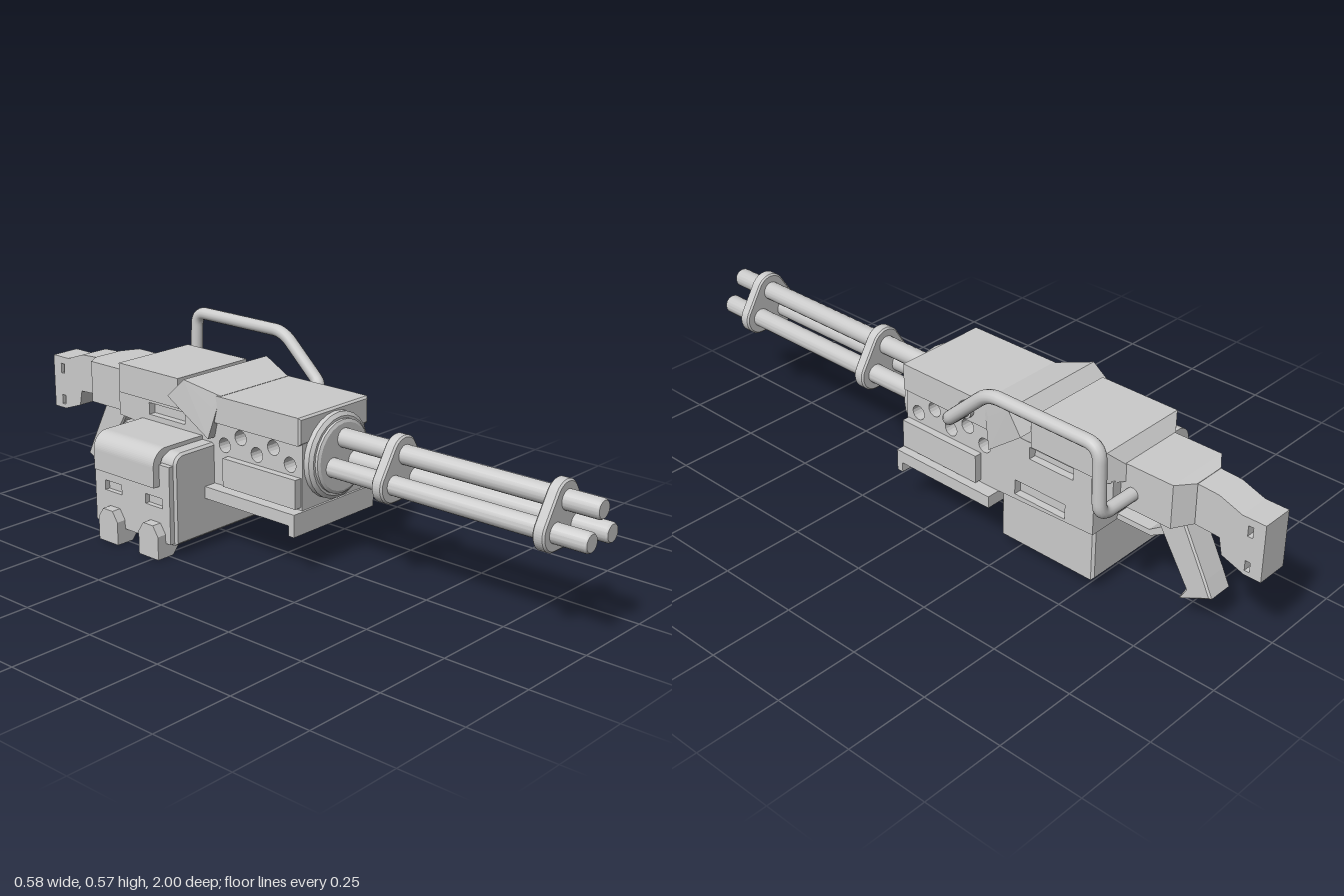
import * as THREE from 'three';
import { ConvexGeometry } from 'three/addons/geometries/ConvexGeometry.js';
import { toCreasedNormals } from 'three/addons/utils/BufferGeometryUtils.js';

const CX = 0.04; // centre plane of the gun body
const material = new THREE.MeshStandardMaterial({ color: 0xcccccc });

export function createModel() {
  const root = new THREE.Group();
  root.name = 'rotaryGun';

  const add = (name, geometry) => {
    const mesh = new THREE.Mesh(geometry, material);
    mesh.name = name;
    root.add(mesh);
    return mesh;
  };
  const poly = (points) => new THREE.Shape(points.map(([a, b]) => new THREE.Vector2(a, b)));
  const rectHole = (a0, b0, a1, b1) => poly([[a0, b0], [a1, b0], [a1, b1], [a0, b1]]);
  const circleHole = (a, b, r) => new THREE.Path().absarc(a, b, r, 0, Math.PI * 2, true);
  const box = (name, x0, x1, y0, y1, z0, z1) => add(name,
    new THREE.BoxGeometry(x1 - x0, y1 - y0, z1 - z0)
      .translate((x0 + x1) / 2, (y0 + y1) / 2, (z0 + z1) / 2));
  // side profile in (z, y), extruded across x
  const sideSlab = (name, shape, x0, x1, bevel = 0) => add(name,
    new THREE.ExtrudeGeometry(shape, {
      depth: x1 - x0 - 2 * bevel, curveSegments: 8, bevelEnabled: bevel > 0,
      bevelSize: bevel, bevelThickness: bevel, bevelOffset: -bevel, bevelSegments: 1,
    }).rotateY(-Math.PI / 2).translate(x1 - bevel, 0, 0));
  // front profile in (x, y), extruded along z
  const frontSlab = (name, shape, z0, z1, bevel = 0) => add(name,
    new THREE.ExtrudeGeometry(shape, {
      depth: z1 - z0 - 2 * bevel, curveSegments: 8, bevelEnabled: bevel > 0,
      bevelSize: bevel, bevelThickness: bevel, bevelOffset: -bevel, bevelSegments: 1,
    }).translate(0, 0, z0 + bevel));
  // convex block through symmetric corner pairs [z, y, halfWidth]
  const block = (name, corners) => add(name, new ConvexGeometry(corners.flatMap(
    ([z, y, w]) => [new THREE.Vector3(CX - w, y, z), new THREE.Vector3(CX + w, y, z)])));
  const section = (z, w, y0, y1) => [[z, y0, w], [z, y1, w]];

  // barrels
  const centres = [[CX, 0.375], [CX - 0.047, 0.3], [CX + 0.047, 0.3]];
  for (const [x, y] of centres) {
    const profile = [[0, 0], [0.028, 0], [0.028, 0.864], [0.024, 0.87], [0, 0.87]];
    const g = new THREE.LatheGeometry(profile.map((p) => new THREE.Vector2(...p)), 20);
    add('barrel', toCreasedNormals(g.rotateX(Math.PI / 2).translate(x, y, 0.13), 0.6));
  }

  // rounded triangular barrel clamps
  const clamp = new THREE.Shape();
  const R = 0.053;
  clamp.absarc(CX, 0.375, R, Math.PI / 6, Math.PI * 5 / 6);
  clamp.absarc(CX - 0.047, 0.3, R, Math.PI * 5 / 6, Math.PI * 1.5);
  clamp.absarc(CX + 0.047, 0.3, R, Math.PI * 1.5, Math.PI * 13 / 6);
  for (const z of [0.35, 0.86]) frontSlab('barrelClamp', clamp, z, z + 0.036, 0.005);

  // stepped round collar at the barrel root
  const collar = [[0, 0], [0.125, 0], [0.125, 0.022], [0.114, 0.03], [0.107, 0.03],
    [0.107, 0.038], [0.098, 0.042], [0, 0.042]];
  add('barrelCollar', toCreasedNormals(
    new THREE.LatheGeometry(collar.map((p) => new THREE.Vector2(...p)), 24)
      .rotateX(Math.PI / 2).translate(CX, 0.32, 0.13), 0.4));

  // main body: core and two outer plates; vents run through, slots only through the plates
  const bodyShape = (slots) => {
    const shape = poly([[0.135, 0.187], [0.135, 0.385], [-0.6, 0.39], [-0.6, 0.31],
      [-0.54, 0.305], [-0.54, 0.2], [-0.2, 0.187]]);
    for (let i = 0; i < 5; i++) {
      shape.holes.push(circleHole(0.09 - i * 0.0625, i % 2 ? 0.345 : 0.31, 0.022));
    }
    if (slots) {
      shape.holes.push(rectHole(-0.47, 0.337, -0.32, 0.373));
      shape.holes.push(rectHole(-0.445, 0.205, -0.27, 0.25));
    }
    return shape;
  };
  sideSlab('bodyCore', bodyShape(false), CX - 0.108, CX + 0.108);
  sideSlab('bodyPlateRight', bodyShape(true), CX - 0.131, CX - 0.107);
  sideSlab('bodyPlateLeft', bodyShape(true), CX + 0.107, CX + 0.131);

  // front top cover
  const cover = poly([[CX - 0.145, 0.375], [CX + 0.145, 0.375], [CX + 0.145, 0.455], [CX - 0.145, 0.455]]);
  frontSlab('frontCover', cover, -0.22, 0.137, 0.006);

  // tilted flaring hood behind the front cover
  block('flaredHood', [[-0.165, 0.456, 0.14], [-0.19, 0.42, 0.15], [-0.2, 0.326, 0.158],
    [-0.28, 0.489, 0.172], [-0.335, 0.433, 0.184]]);

  // rear cover, neck
  box('coverBridge', CX - 0.13, CX + 0.13, 0.38, 0.44, -0.36, -0.25);
  block('rearCover', [...section(-0.335, 0.143, 0.385, 0.475),
    ...section(-0.585, 0.143, 0.385, 0.475), ...section(-0.615, 0.1, 0.385, 0.435)]);
  block('neck', [...section(-0.58, 0.1, 0.31, 0.438),
    ...section(-0.76, 0.1, 0.31, 0.438), ...section(-0.795, 0.049, 0.315, 0.435)]);

  // stock with two small slots
  const stock = poly([[-0.77, 0.315], [-0.77, 0.435], [-0.86, 0.43], [-0.93, 0.405],
    [-1, 0.405], [-1, 0.237], [-0.95, 0.237], [-0.88, 0.262], [-0.87, 0.31]]);
  stock.holes.push(rectHole(-0.965, 0.352, -0.95, 0.383), rectHole(-0.965, 0.25, -0.95, 0.28));
  sideSlab('stock', stock, CX - 0.049, CX + 0.047);

  // grip and trigger guard
  sideSlab('grip', poly([[-0.645, 0.32], [-0.75, 0.32], [-0.835, 0.155], [-0.858, 0.107],
    [-0.757, 0.06], [-0.778, 0.1]]), CX - 0.042, CX + 0.042, 0.005);
  sideSlab('triggerGuard', poly([[-0.53, 0.2], [-0.65, 0.2], [-0.71, 0.235], [-0.7, 0.255],
    [-0.645, 0.217], [-0.53, 0.217]]), CX - 0.03, CX + 0.03);
  sideSlab('trigger', poly([[-0.625, 0.32], [-0.65, 0.32], [-0.655, 0.25], [-0.64, 0.25]]),
    CX - 0.012, CX + 0.012);

  // side rails and lower rail with a front lip
  for (const s of [-1, 1]) {
    const a = CX + s * 0.12, b = CX + s * 0.154;
    box('sideRail', Math.min(a, b), Math.max(a, b), 0.195, 0.28, -0.147, 0.13);
  }
  sideSlab('lowerRail', poly([[0.14, 0.12], [0.14, 0.186], [-0.21, 0.186], [-0.21, 0.15],
    [0.12, 0.15], [0.12, 0.12]]), CX - 0.17, CX + 0.17);

  // ammunition box with a rounded shoulder and a slotted outer wall
  const ammo = new THREE.Shape();
  ammo.moveTo(-0.247, 0.036);
  ammo.lineTo(0.15, 0.036);
  ammo.lineTo(0.15, 0.203);
  ammo.lineTo(-0.08, 0.203);
  ammo.lineTo(-0.08, 0.308);
  ammo.lineTo(-0.21, 0.308);
  ammo.absarc(-0.212, 0.273, 0.035, Math.PI / 2, Math.PI);
  frontSlab('ammoBox', ammo, -0.53, -0.203, 0.007);
  const wall = poly([[-0.523, 0.043], [-0.21, 0.043], [-0.21, 0.275], [-0.523, 0.275]]);
  wall.holes.push(rectHole(-0.31, 0.145, -0.24, 0.175), rectHole(-0.48, 0.145, -0.41, 0.175));
  sideSlab('ammoBoxWall', wall, -0.263, -0.246);

  // curved feed cover wrapped over the box shoulder
  const strap = new THREE.Shape();
  strap.moveTo(-0.085, 0.3);
  strap.lineTo(-0.085, 0.32);
  strap.absarc(-0.235, 0.27, 0.05, Math.PI / 2, Math.PI);
  strap.lineTo(-0.285, 0.21);
  strap.lineTo(-0.255, 0.21);
  strap.absarc(-0.23, 0.275, 0.025, Math.PI, Math.PI / 2, true);
  frontSlab('feedCover', strap, -0.5, -0.25);

  // feet with pointed tops on the outer wall of the box
  for (const z of [-0.27, -0.44]) {
    const w = 0.04;
    const pts = [];
    for (const x of [-0.293, -0.21]) {
      const y0 = x < -0.25 ? 0 : 0.03;
      pts.push([x, y0, z - w], [x, y0, z + w], [x, 0.07, z - w], [x, 0.07, z + w],
        [x, 0.1, z - w / 2], [x, 0.1, z + w / 2]);
    }
    pts.push([-0.235, 0, z - w], [-0.235, 0, z + w]);
    add('boxFoot', new ConvexGeometry(pts.map((p) => new THREE.Vector3(...p))));
  }

  // bent carrying handle
  const pts = [[0.16, 0.412, -0.11], [0.27, 0.412, -0.11], [0.27, 0.555, -0.265],
    [0.27, 0.555, -0.63], [0.27, 0.357, -0.637], [0.11, 0.357, -0.637]]
    .map((p) => new THREE.Vector3(...p));
  const path = new THREE.CurvePath();
  let from = pts[0];
  for (let i = 1; i < pts.length - 1; i++) {
    const toward = (q) => pts[i].clone().add(q.clone().sub(pts[i]).setLength(0.04));
    const a = toward(pts[i - 1]), b = toward(pts[i + 1]);
    path.add(new THREE.LineCurve3(from, a));
    path.add(new THREE.QuadraticBezierCurve3(a, pts[i], b));
    from = b;
  }
  path.add(new THREE.LineCurve3(from, pts[pts.length - 1]));
  add('carryHandle', new THREE.TubeGeometry(path, 120, 0.019, 14));
  add('handleSocket', new THREE.CylinderGeometry(0.025, 0.025, 0.03, 16)
    .rotateZ(Math.PI / 2).translate(0.183, 0.412, -0.11));

  return root;
}
